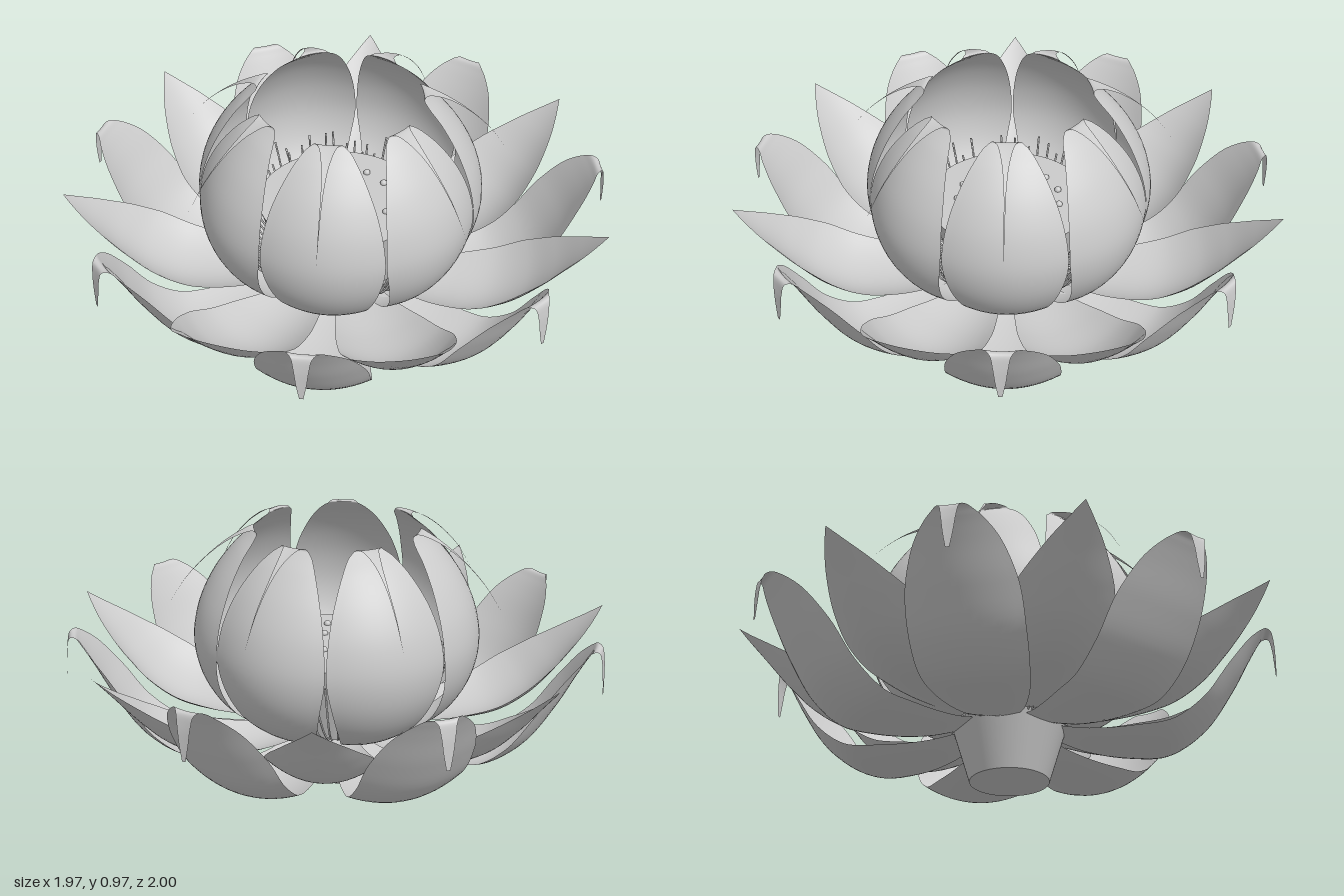
import * as THREE from 'three';

const material = new THREE.MeshStandardMaterial({ color: 0xcccccc, side: THREE.DoubleSide });
const STEP = (Math.PI * 2) / 7;

// Petal sheet along +z: each rib is [radius, height, halfWidth]; cup lifts the edges.
function petalGeometry(ribs, cup) {
  const curve = new THREE.CatmullRomCurve3(ribs.map((p) => new THREE.Vector3(...p)), false, 'centripetal');
  const geometry = new THREE.PlaneGeometry(2, 1, 14, 72);
  const pos = geometry.attributes.position;
  for (let i = 0; i < pos.count; i++) {
    const u = pos.getX(i);
    const t = THREE.MathUtils.clamp(pos.getY(i) + 0.5, 0, 1);
    const p = curve.getPoint(t);
    const tangent = curve.getTangent(t);
    const n = new THREE.Vector2(-tangent.y, tangent.x).normalize();
    const half = Math.max(p.z, 0);
    const lift = cup * half * half * u * u;
    pos.setXYZ(i, half * u, p.y + n.y * lift, p.x + n.x * lift);
  }
  geometry.computeVertexNormals();
  return geometry;
}

// Seven copies of one petal around the axis
function petalRing(name, ribs, cup, offset) {
  const ring = new THREE.Group();
  ring.name = name + 'Ring';
  const geometry = petalGeometry(ribs, cup);
  for (let i = 0; i < 7; i++) {
    const petal = new THREE.Mesh(geometry, material);
    petal.name = name;
    petal.rotation.y = (i + offset) * STEP;
    ring.add(petal);
  }
  return ring;
}

function seededRandom(seed) {
  return () => (seed = (seed * 16807) % 2147483647) / 2147483647;
}

export function createModel() {
  const flower = new THREE.Group();
  flower.name = 'lotusFlower';
  flower.position.z = -0.01;

  // Tapered stem widening into the flat seed head
  const head = new THREE.Mesh(new THREE.CylinderGeometry(0.3, 0.145, 0.51, 64), material);
  head.name = 'seedHead';
  head.position.y = 0.255;
  flower.add(head);

  // Two rings of seeds on the head
  const seedGeometry = new THREE.SphereGeometry(0.013, 14, 10);
  for (const [count, radius] of [[13, 0.19], [6, 0.096]]) {
    for (let i = 0; i < count; i++) {
      const a = Math.PI + (i / count) * Math.PI * 2;
      const seed = new THREE.Mesh(seedGeometry, material);
      seed.name = 'seed';
      seed.position.set(Math.sin(a) * radius, 0.513, Math.cos(a) * radius);
      flower.add(seed);
    }
  }

  // Fine stamens around the seed head
  const random = seededRandom(7);
  const stamens = new THREE.Group();
  stamens.name = 'stamens';
  for (let i = 0; i < 84; i++) {
    const reach = 0.39 + 0.05 * random();
    const top = 0.42 + 0.1 * random();
    const path = new THREE.CatmullRomCurve3([
      new THREE.Vector3(0, 0.195, 0.19),
      new THREE.Vector3(0, 0.28, 0.31),
      new THREE.Vector3((random() - 0.5) * 0.03, top, reach),
    ]);
    const stamen = new THREE.Mesh(new THREE.TubeGeometry(path, 8, 0.004, 5), material);
    stamen.name = 'stamen';
    stamen.rotation.y = ((i + (random() - 0.5) * 0.6) / 84) * Math.PI * 2;
    stamens.add(stamen);
  }
  flower.add(stamens);

  // Upright inner petals with needle tips curling outward
  flower.add(petalRing('innerPetal', [
    [0.17, 0.2, 0.05], [0.3, 0.225, 0.1], [0.42, 0.3, 0.15], [0.5, 0.42, 0.195],
    [0.528, 0.55, 0.22], [0.508, 0.68, 0.212], [0.452, 0.8, 0.18], [0.373, 0.9, 0.125],
    [0.315, 0.95, 0.078], [0.301, 0.963, 0.052], [0.315, 0.966, 0.034], [0.38, 0.94, 0.015],
    [0.46, 0.885, 0.005], [0.55, 0.795, 0.002], [0.62, 0.69, 0],
  ], 1.3, 0.5));

  // Pointed middle petals
  flower.add(petalRing('middlePetal', [
    [0.16, 0.215, 0.07], [0.3, 0.2, 0.115], [0.45, 0.2, 0.165], [0.6, 0.225, 0.194],
    [0.72, 0.29, 0.197], [0.82, 0.385, 0.163], [0.91, 0.49, 0.098], [0.975, 0.565, 0.036], [1.01, 0.603, 0],
  ], 2, 0));

  // Low outer petals with narrow drooping tips
  flower.add(petalRing('outerPetal', [
    [0.16, 0.19, 0.07], [0.28, 0.15, 0.115], [0.45, 0.125, 0.165], [0.6, 0.135, 0.19],
    [0.73, 0.225, 0.2], [0.83, 0.37, 0.193], [0.9, 0.5, 0.148], [0.94, 0.57, 0.093],
    [0.96, 0.597, 0.055], [0.977, 0.593, 0.036], [0.987, 0.55, 0.026], [0.991, 0.49, 0.018], [0.993, 0.43, 0.007],
  ], 1.3, 0.5));

  const model = new THREE.Group();
  model.name = 'lotus';
  model.add(flower);
  return model;
}
